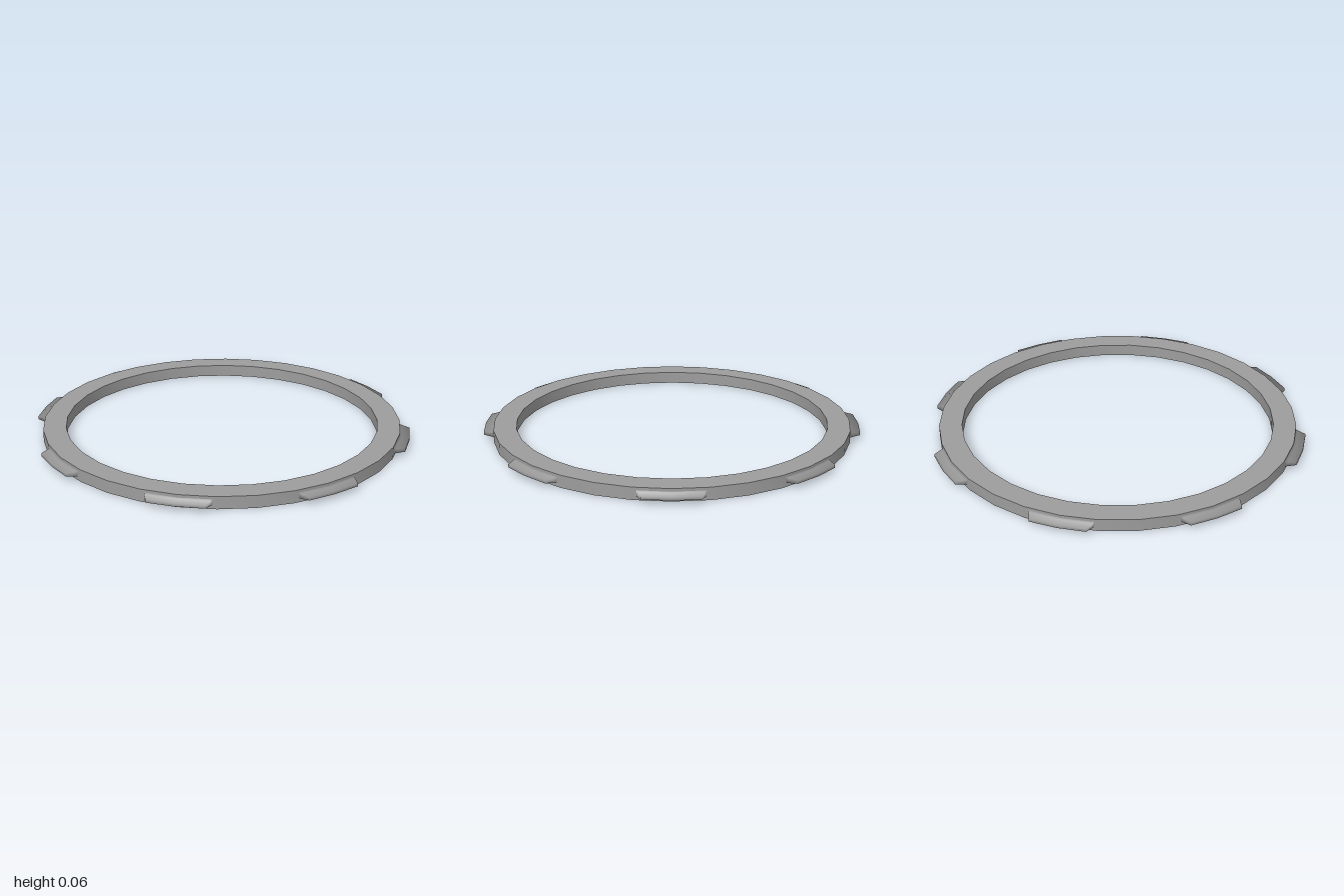
import * as THREE from 'three';
import { toCreasedNormals } from 'three/addons/utils/BufferGeometryUtils.js';

const HEIGHT = 0.065;
const MID = 0.035;

// Half of the tab section: radius, half thickness, half angle in degrees, normal tilt
const TAB = [
  [0.925, 0.018, 10.5, 0.1],
  [0.945, 0.016, 10.1, 0.25],
  [0.96, 0.012, 9.6, 0.6],
  [1.0, 0.008, 8.2, 0.35],
];

function tabGeometry() {
  const n = TAB.length;
  // Closed section: upper side outwards, lower side back inwards
  const loop = [...TAB, ...TAB.map(([r, h, w, t]) => [r, -h, w, -t]).reverse()];
  const m = loop.length;
  const positions = [], normals = [], index = [];
  const normal = new THREE.Vector3();
  for (const side of [-1, 0, 1]) {
    for (const [r, h, w, tilt] of loop) {
      const a = side * THREE.MathUtils.degToRad(w);
      positions.push(Math.sin(a) * r, MID + h, Math.cos(a) * r);
      // Soft normals that blend the tab into the rim
      normal.set(Math.sin(a), tilt, Math.cos(a)).normalize();
      normals.push(normal.x, normal.y, normal.z);
    }
  }
  for (let s = 0; s < 2; s++) {
    for (let j = 0; j < m; j++) {
      const a = s * m + j, b = s * m + (j + 1) % m;
      index.push(a, b, a + m, b, b + m, a + m);
    }
  }
  // End caps
  for (let j = 0; j < n - 1; j++) {
    const a = j, b = j + 1, c = m - 2 - j, d = m - 1 - j, e = 2 * m;
    index.push(e + a, e + b, e + c, e + a, e + c, e + d);
    index.push(a, c, b, a, d, c);
  }
  const geometry = new THREE.BufferGeometry();
  geometry.setAttribute('position', new THREE.Float32BufferAttribute(positions, 3));
  geometry.setAttribute('normal', new THREE.Float32BufferAttribute(normals, 3));
  geometry.setIndex(index);
  return geometry;
}

export function createModel() {
  const group = new THREE.Group();
  const material = new THREE.MeshStandardMaterial({ color: 0x9d9d9d });

  // Flat ring with a rectangular section
  const section = [[0.83, HEIGHT], [0.83, 0], [0.95, 0], [0.95, HEIGHT], [0.83, HEIGHT]];
  const lathe = new THREE.LatheGeometry(section.map(([x, y]) => new THREE.Vector2(x, y)), 32);
  const ring = new THREE.Mesh(toCreasedNormals(lathe, 0.7), material);
  ring.name = 'ring';
  group.add(ring);

  // Eight flared tabs around the rim
  const geometry = tabGeometry();
  for (let i = 0; i < 8; i++) {
    const tab = new THREE.Mesh(geometry, material);
    tab.name = `rimTab${i + 1}`;
    tab.rotation.y = i * Math.PI / 4;
    group.add(tab);
  }
  return group;
}
